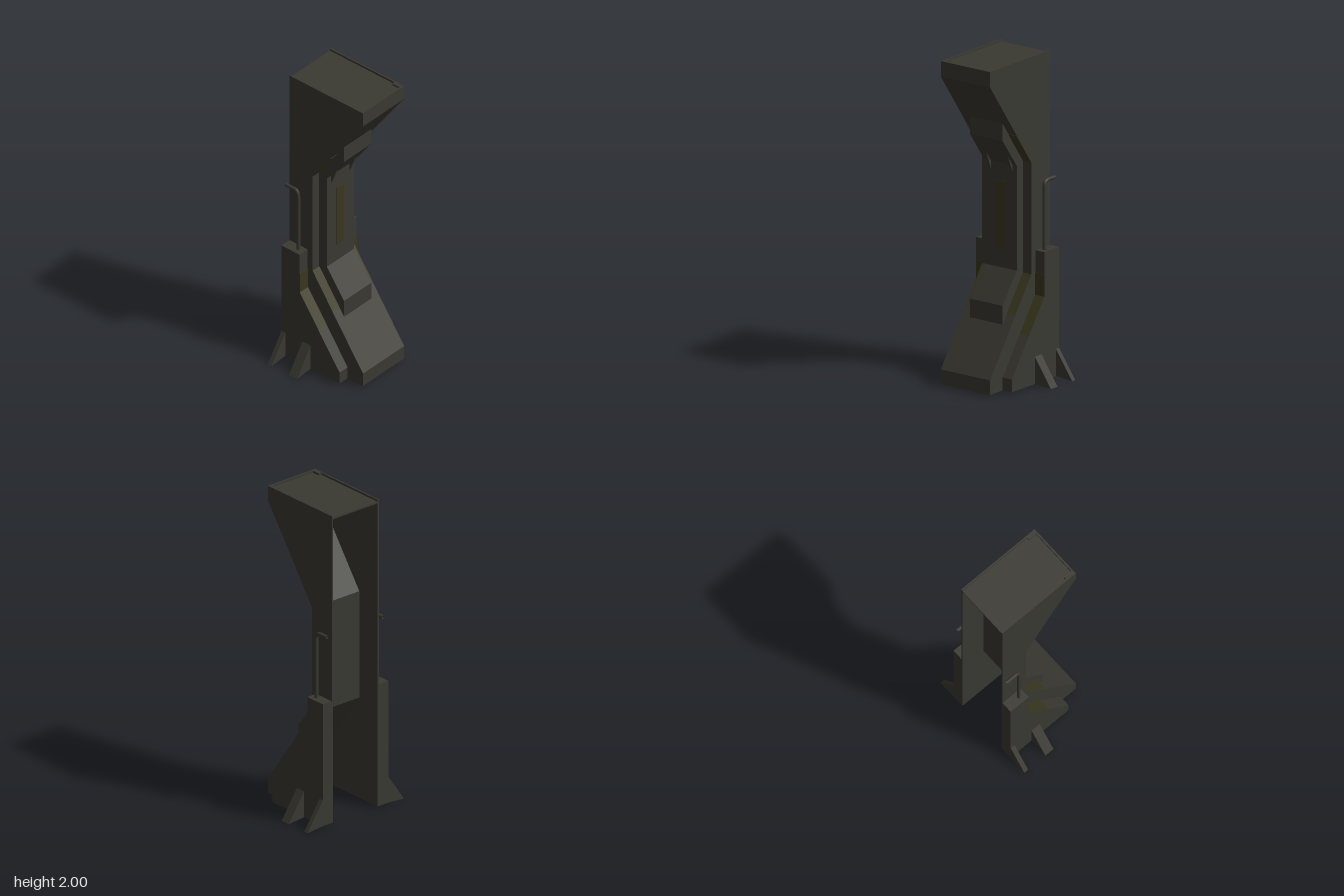
import * as THREE from 'three';

const metal = new THREE.MeshStandardMaterial({ color: 0x3a3932, side: THREE.DoubleSide });
metal.name = 'dark metal';
const olive = new THREE.MeshStandardMaterial({ color: 0x3a381f, side: THREE.DoubleSide });
olive.name = 'worn olive';

// body side planes, insert side planes and outer skirt planes
const Z0 = -0.188, Z1 = 0.181, I0 = -0.125, I1 = 0.12, S0 = -0.257, S1 = 0.254;
const BACK = -0.288, FRONT = 0.287, WALL = 0.01;

export function createModel() {
  const root = new THREE.Group();
  const add = (name, geometry, material = metal) => {
    const mesh = new THREE.Mesh(geometry, material);
    mesh.name = name;
    root.add(mesh);
    return mesh;
  };
  const shape = pts => new THREE.Shape(pts.map(p => new THREE.Vector2(...p)));
  // x-y outline extruded between two z planes
  const prism = (name, pts, z0, z1, material) => {
    const g = new THREE.ExtrudeGeometry(shape(pts), { depth: z1 - z0, bevelEnabled: false });
    return add(name, g.translate(0, 0, z0), material);
  };
  // thin painted plate on the front of the edge a-b (a below b)
  const plate = (name, a, b, z0, z1) => {
    const d = new THREE.Vector2(b[0] - a[0], b[1] - a[1]).normalize().multiplyScalar(0.002);
    const off = p => [p[0] + d.y, p[1] - d.x];
    prism(name, [a, b, off(b), off(a)], z0, z1, olive);
  };

  // hollow body: two side walls and a bent front panel, open behind and below
  const face = [[FRONT, 0.01], [FRONT, 0.1], [-0.11, 0.66], [-0.11, 1.35], [FRONT, 1.905], [FRONT, 2]];
  const side = [[BACK, 0.01], ...face, [BACK, 2]];
  prism('leftWall', side, Z1 - WALL, Z1);
  prism('rightWall', side, Z0, Z0 + WALL);
  const inner = face.map(([x, y]) => [x - 0.012, y]).reverse();
  prism('frontPanel', [...face, ...inner], Z0 + WALL, Z1 - WALL);

  // sunken top plate with corner blocks
  const top = new THREE.BoxGeometry(FRONT - BACK - 0.012, 0.01, Z1 - Z0 - 2 * WALL);
  add('topPlate', top).position.set((FRONT + BACK - 0.012) / 2, 1.982, (Z0 + Z1) / 2);
  for (const z of [Z0 + 0.019, Z1 - 0.019]) {
    add('topCorner', new THREE.BoxGeometry(0.057, 0.012, 0.018)).position.set(0.2465, 1.993, z);
  }

  // raised insert with upper and lower blocks
  prism('insert', [[-0.115, 0.66], [0.085, 0.383], [0.085, 0.5], [-0.05, 0.685], [-0.05, 1.33],
    [0.085, 1.515], [0.085, 1.63], [-0.115, 1.35]], I0, I1);
  for (const z of [0.076, -0.088]) {
    prism('insertRib', [[-0.05, 1.28], [0.002, 1.41], [-0.05, 1.34]], z - 0.007, z + 0.007);
  }
  plate('insertStripe', [-0.05, 0.8], [-0.05, 1.215], -0.038, 0.032);

  // olive patches on the slopes beside the insert
  for (const [z0, z1] of [[Z0, I0], [I1, Z1]]) {
    plate('lowerSlopePatch', [0.045, 0.44], [-0.11, 0.66], z0, z1);
    plate('upperSlopePatch', [-0.11, 1.35], [0.03, 1.546], z0, z1);
  }

  // side skirts, handrails and feet
  const skirt = [[BACK, 0.01], [0.167, 0.01], [0.167, 0.09], [-0.147, 0.525], [-0.147, 0.8], [BACK, 0.8]];
  for (const s of [1, -1]) {
    const z0 = s > 0 ? Z1 : S0, z1 = s > 0 ? S1 : Z0;
    prism('sideSkirt', skirt, z0, z1);
    plate('skirtSlopePatch', [0.0, 0.3214], [-0.147, 0.525], z0, z1);
    plate('skirtFrontPatch', [-0.147, 0.525], [-0.147, 0.66], z0, z1);

    const zr = s > 0 ? 0.215 : -0.223;
    const path = new THREE.CurvePath();
    const v = (x, y) => new THREE.Vector3(x, y, zr);
    path.add(new THREE.LineCurve3(v(BACK, 1.225), v(-0.225, 1.225)));
    path.add(new THREE.QuadraticBezierCurve3(v(-0.225, 1.225), v(-0.19, 1.225), v(-0.19, 1.185)));
    path.add(new THREE.LineCurve3(v(-0.19, 1.185), v(-0.19, 0.79)));
    add('handrail', new THREE.TubeGeometry(path, 48, 0.011, 8));

    const zs = s > 0 ? S1 : S0, xm = s > 0 ? -0.0915 : -0.0865;
    for (const [x, w] of [[-0.273, 0.03], [xm, 0.064]]) {
      // wedge drawn in z-y, then turned so its thickness runs along x
      const g = new THREE.ExtrudeGeometry(shape([[-zs, 0.01], [-zs, 0.178], [-s * 0.377, 0]]),
        { depth: w, bevelEnabled: false });
      add('footWedge', g.rotateY(Math.PI / 2).translate(x - w / 2, 0, 0));
    }
  }
  return root;
}
